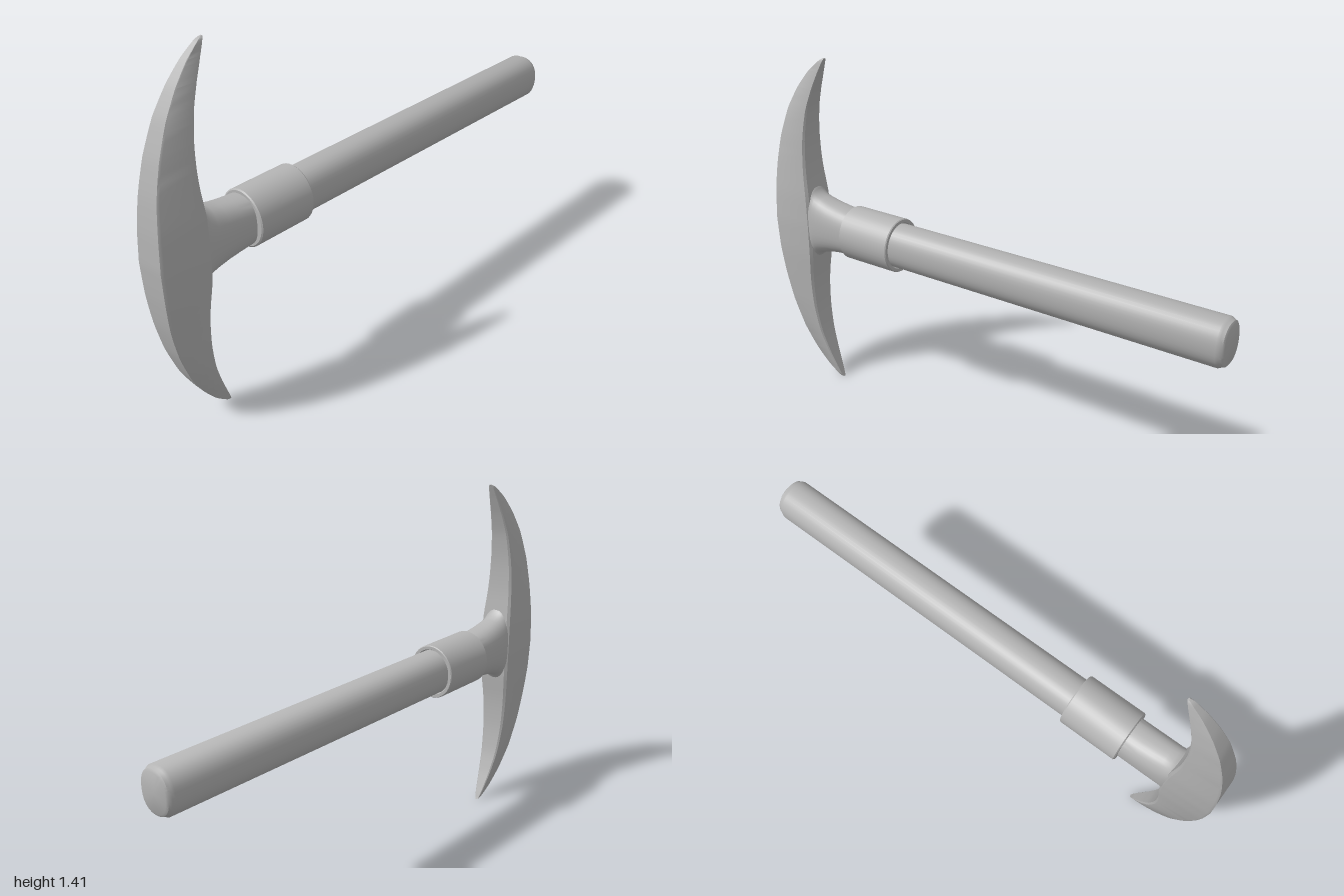
import * as THREE from 'three';
import { toCreasedNormals } from 'three/addons/utils/BufferGeometryUtils.js';

const CY = 0.713; // height of the handle axis

// Skin a list of closed rings (counter-clockwise seen from the far end) and cap both ends
function loft(rings, crease) {
  const n = rings[0].length, pos = [], idx = [];
  rings.forEach(r => r.forEach(p => pos.push(...p)));
  for (let i = 0; i < rings.length - 1; i++) {
    for (let j = 0; j < n; j++) {
      const a = i * n + j, b = i * n + (j + 1) % n;
      idx.push(a, b, b + n, a, b + n, a + n);
    }
  }
  [0, rings.length - 1].forEach((i, end) => {
    const c = pos.length / 3;
    pos.push(...[0, 1, 2].map(k => rings[i].reduce((s, p) => s + p[k], 0) / n));
    for (let j = 0; j < n; j++) {
      const a = i * n + j, b = i * n + (j + 1) % n;
      if (end) idx.push(a, b, c); else idx.push(b, a, c);
    }
  });
  const g = new THREE.BufferGeometry();
  g.setAttribute('position', new THREE.Float32BufferAttribute(pos, 3));
  g.setIndex(idx);
  return toCreasedNormals(g, crease);
}

// Rounded ring across the x axis; power 2 is an ellipse, higher is squarer
function ovalRing([x, ry, rz], power = 2, sides = 40) {
  const soft = v => Math.sign(v) * Math.abs(v) ** (2 / power);
  return Array.from({ length: sides }, (_, i) => {
    const t = i / sides * Math.PI * 2;
    return [x, CY + ry * soft(Math.cos(t)), rz * soft(Math.sin(t))];
  });
}

// Smooth interpolation through [key, ...values] rows, starting at the middle of the head
function sampleRows(rows, steps) {
  const flat = rows.map(r => new THREE.Vector3(r[1], r[2], r[3]));
  const heights = rows.map(r => new THREE.Vector3(r[0], 0, 0));
  const a = new THREE.CatmullRomCurve3(flat, false, 'centripetal');
  const b = new THREE.CatmullRomCurve3(heights, false, 'centripetal');
  return Array.from({ length: steps + 1 }, (_, i) => {
    const t = i / steps, v = a.getPoint(t);
    return [b.getPoint(t).x, v.x, v.y, v.z];
  });
}

export function createModel() {
  const group = new THREE.Group();
  const grey = new THREE.MeshStandardMaterial({ color: 0xb4b4b4 });
  grey.name = 'plain grey';
  const add = (name, geometry) => {
    const mesh = new THREE.Mesh(geometry, grey);
    mesh.name = name;
    group.add(mesh);
  };

  // Curved double-pointed head: [height from axis, outer x, inner x, half width]
  const half = sampleRows([
    [0, -1, -0.8, 0.071],
    [0.12, -0.994, -0.805, 0.068],
    [0.24, -0.98, -0.818, 0.059],
    [0.36, -0.953, -0.819, 0.051],
    [0.48, -0.908, -0.803, 0.041],
    [0.57, -0.855, -0.775, 0.03],
    [0.64, -0.798, -0.747, 0.019],
    [0.685, -0.745, -0.728, 0.009],
    [0.692, -0.732, -0.724, 0.004],
  ], 32);
  const rows = [...half.slice(1).reverse().map(([h, ...r]) => [-h, ...r]), ...half];
  const headRings = rows.map(([h, outer, inner, w]) => {
    const y = h * 0.703 / 0.692 + 0.703, o = w * 0.88, m = (inner - outer) * 0.05;
    return [
      [outer, y, o * 0.9], [outer + m, y, o],
      [inner - m, y, w], [inner, y, w * 0.85],
      [inner, y, -w * 0.85], [inner - m, y, -w],
      [outer + m, y, -o], [outer, y, -o * 0.9],
    ];
  });
  add('pickHead', loft(headRings, 0.6));

  // Flared socket between head and collar
  add('socketNeck', loft([
    [-0.86, 0.19, 0.058], [-0.815, 0.165, 0.066], [-0.805, 0.145, 0.069], [-0.79, 0.129, 0.071],
    [-0.765, 0.119, 0.073], [-0.72, 0.107, 0.075], [-0.67, 0.099, 0.076], [-0.6, 0.091, 0.077],
  ].map(r => ovalRing(r, 2.5)), 0.8));

  // Collar band
  add('collar', loft([
    [-0.616, 0.104, 0.096], [-0.612, 0.109, 0.101], [-0.379, 0.109, 0.101],
    [-0.375, 0.106, 0.098], [-0.375, 0.094, 0.086], [-0.385, 0.09, 0.08],
  ].map(r => ovalRing(r)), 0.6));

  // Oval handle with a bevelled butt
  add('handle', loft([
    [-0.6, 0.087, 0.077], [0.975, 0.089, 0.077], [0.984, 0.084, 0.073],
    [0.995, 0.08, 0.068], [1, 0.072, 0.06],
  ].map(r => ovalRing(r, 2.3)), 0.6));

  return group;
}
